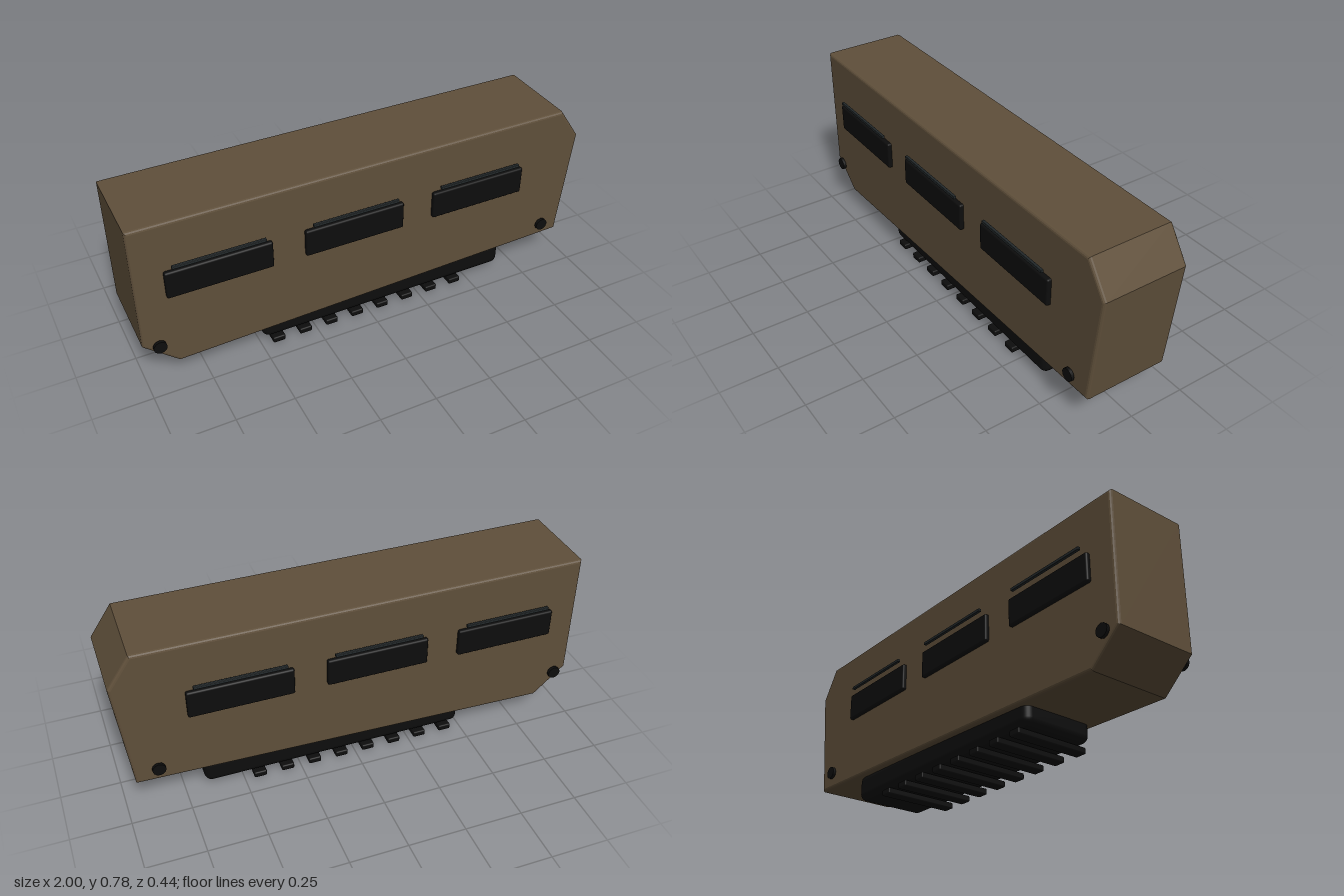
import * as THREE from 'three';
import { RoundedBoxGeometry } from 'three/addons/geometries/RoundedBoxGeometry.js';

const material = (name, color) => {
  const m = new THREE.MeshStandardMaterial({ color });
  m.name = name;
  return m;
};

export function createModel() {
  const model = new THREE.Group();
  model.name = 'model';
  const brown = material('brown casing', 0x5f4f3a);
  const black = material('black', 0x0d0d0d);
  const slate = material('dark slate', 0x22282a);

  const add = (name, geometry, mat, x, y, z) => {
    const mesh = new THREE.Mesh(geometry, mat);
    mesh.name = name;
    mesh.position.set(x, y, z);
    model.add(mesh);
    return mesh;
  };

  // Casing: chamfered side profile, extruded across the width with a fine bevel
  const profile = new THREE.Shape([
    [-1, 0.22], [-0.86, 0.095], [0.95, 0.15], [1, 0.64], [0.905, 0.777], [-1, 0.777],
  ].map(([x, y]) => new THREE.Vector2(x, y)));
  const bevel = 0.012;
  const casing = new THREE.ExtrudeGeometry(profile, {
    depth: 0.38 - 2 * bevel, bevelEnabled: true, bevelSize: bevel,
    bevelThickness: bevel, bevelOffset: -bevel, bevelSegments: 3,
  });
  add('casing', casing, brown, 0, 0, -0.19 + bevel);

  // Side vents, their brow strips and the corner bolts, on both sides
  const vent = new RoundedBoxGeometry(0.438, 0.122, 0.036, 2, 0.008);
  const brow = new RoundedBoxGeometry(0.38, 0.013, 0.013, 1, 0.002);
  const bolt = new THREE.CylinderGeometry(0.028, 0.028, 0.013, 12).rotateX(Math.PI / 2);
  for (const side of [1, -1]) {
    for (const x of [-0.661, -0.083, 0.495]) {
      add('sideVent', vent, black, x, 0.5, side * 0.19);
      add('ventBrow', brow, slate, x, 0.587, side * 0.212);
    }
    for (const x of [-0.935, 0.855]) add('cornerBolt', bolt, black, x, 0.214, side * 0.2045);
  }

  // Underside pad with cross ribs hanging just below it
  add('undersidePad', new RoundedBoxGeometry(1.156, 0.118, 0.332, 4, 0.032), black, 0.088, 0.091, 0);
  const rib = new RoundedBoxGeometry(0.055, 0.027, 0.346, 2, 0.006);
  for (let i = 0; i < 8; i++) add('crossRib', rib, black, -0.425 + i * 0.14 * 0.875, 0.0145, 0);

  return model;
}
